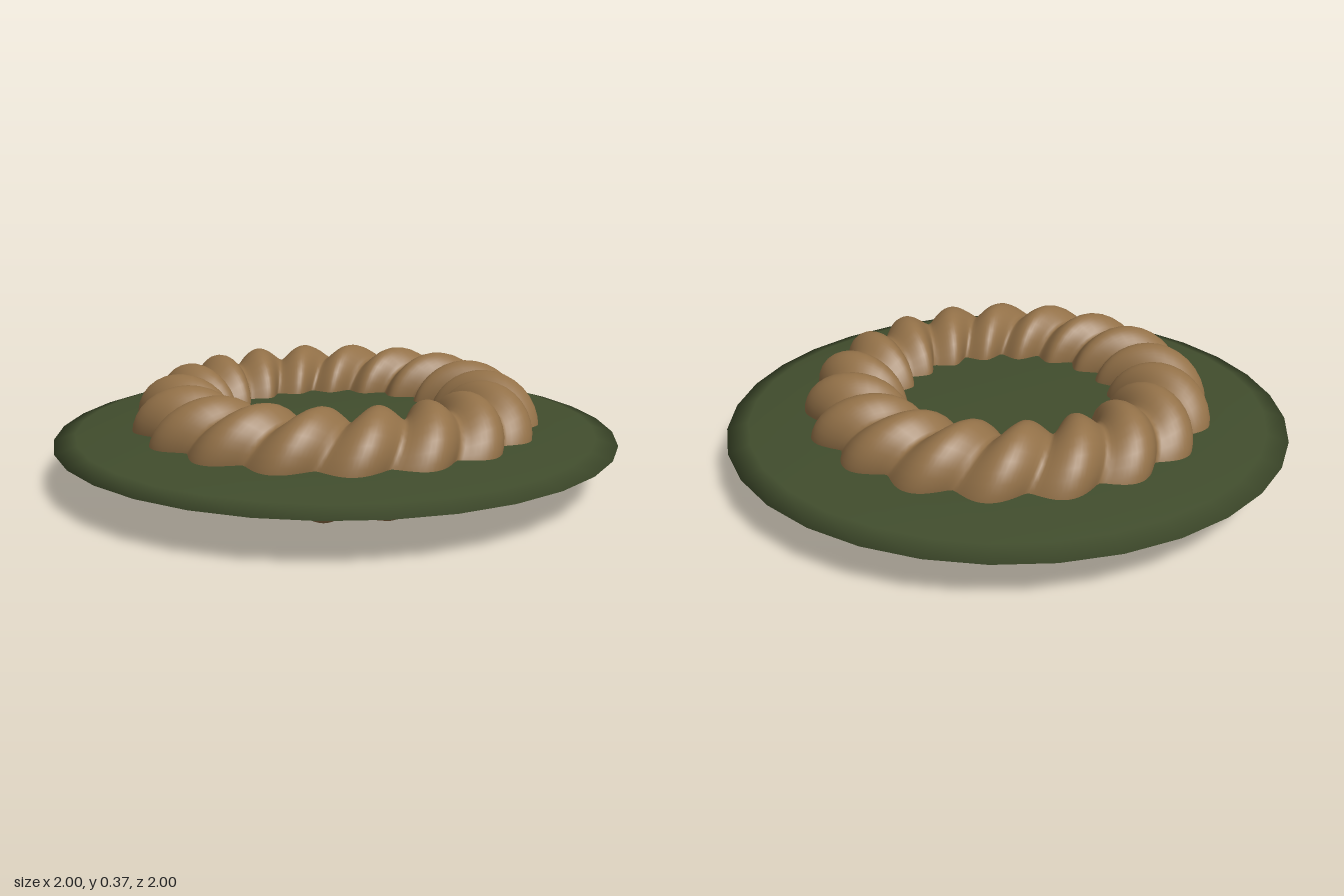
import * as THREE from 'three';
import { mergeVertices } from 'three/addons/utils/BufferGeometryUtils.js';

const green = new THREE.MeshStandardMaterial({ name: 'mossGreen', color: 0x414d2d });
const brown = new THREE.MeshStandardMaterial({ name: 'ropeBrown', color: 0x937148 });

const RING = 0.545; // centre-line radius of the rope
const TURNS = 9; // twists of the two-lobed section around the ring

// Torus whose section has two lobes that spiral round the ring
function twistedRing() {
  let g = new THREE.TorusGeometry(RING, 0.15, 32, 288);
  g.rotateX(Math.PI / 2);
  g.deleteAttribute('uv');
  g.deleteAttribute('normal');
  g = mergeVertices(g, 1e-4);
  const p = g.attributes.position;
  for (let i = 0; i < p.count; i++) {
    const phi = Math.atan2(p.getZ(i), p.getX(i));
    const out = Math.hypot(p.getX(i), p.getZ(i)) - RING;
    const psi = Math.atan2(p.getY(i), out);
    const c = Math.cos(psi + TURNS * phi);
    const r = 0.122 + 0.062 * Math.sqrt(c * c + 0.015);
    const ring = RING + r * Math.cos(psi);
    p.setXYZ(i, ring * Math.cos(phi), r * Math.sin(psi), ring * Math.sin(phi));
  }
  g.computeVertexNormals();
  return g;
}

export function createModel() {
  const group = new THREE.Group();
  group.name = 'ropeRingOnDisc';

  // Flattened lens-shaped disc
  const discGeometry = new THREE.SphereGeometry(1, 32, 8);
  discGeometry.scale(1, 0.058, 1);
  const disc = new THREE.Mesh(discGeometry, green);
  disc.name = 'disc';
  disc.position.y = 0.16;

  // Twisted rope ring passing through the disc
  const rope = new THREE.Mesh(twistedRing(), brown);
  rope.name = 'twistedRope';
  rope.position.y = 0.186;

  group.add(disc, rope);
  return group;
}
